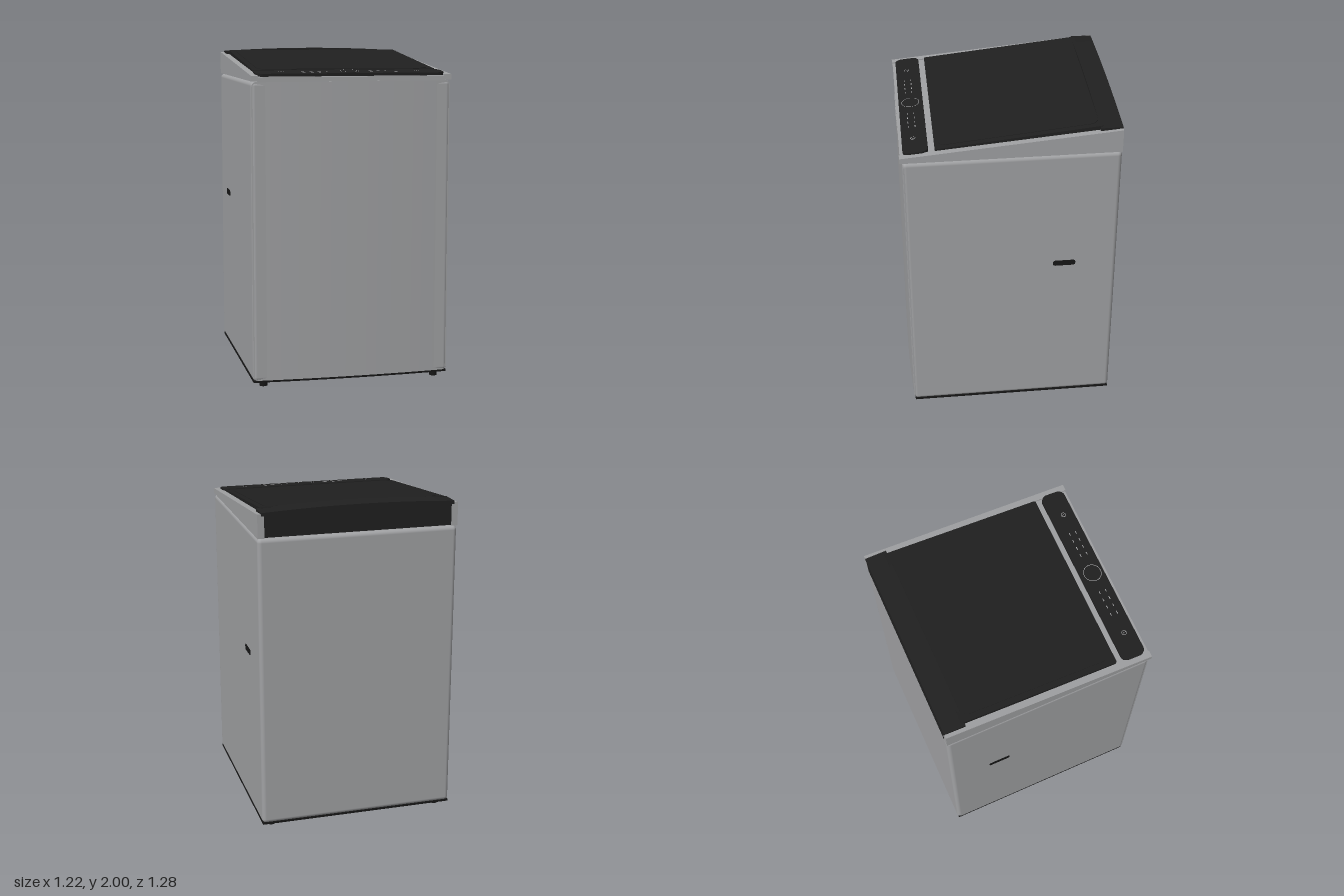
import * as THREE from 'three';
import { RoundedBoxGeometry } from 'three/addons/geometries/RoundedBoxGeometry.js';

const mat = (name, color) => {
  const m = new THREE.MeshStandardMaterial({ color });
  m.name = name;
  return m;
};

export function createModel() {
  const steel = mat('steel grey', 0xa0a1a3);
  const black = mat('gloss black', 0x202020);
  const dark = mat('underside black', 0x161616);
  const light = mat('marking grey', 0xb4b4b6);

  const model = new THREE.Group();
  model.name = 'washingMachine';
  const add = (name, geo, material, x = 0, y = 0, z = 0, parent = model) => {
    const m = new THREE.Mesh(geo, material);
    m.name = name;
    m.position.set(x, y, z);
    parent.add(m);
    return m;
  };

  // Bowed slab: rounded corners seen from the front, front face curved forward
  const R = 0.03, HALF = 0.602;
  const bow = (x) => 0.02 * (1 - (x / HALF) ** 2);
  function bowedSlab(h, d, corner) {
    const g = new THREE.BoxGeometry(2, h, d, 48, 1, 1);
    const p = g.attributes.position;
    for (let i = 0; i < p.count; i++) {
      const x = HALF * Math.sin(p.getX(i) * Math.PI / 2);
      const t = Math.max(0, Math.abs(x) - (HALF - corner));
      const inset = corner - Math.sqrt(Math.max(0, corner * corner - t * t));
      p.setX(i, x);
      p.setY(i, p.getY(i) - Math.sign(p.getY(i)) * inset);
      if (p.getZ(i) > 0) p.setZ(i, p.getZ(i) + bow(x));
    }
    g.computeVertexNormals();
    return g;
  }

  // Side profile given as [z, y] points, extruded across x
  function profile(points, width) {
    const s = new THREE.Shape(points.map(([z, y]) => new THREE.Vector2(z, y)));
    const g = new THREE.ExtrudeGeometry(s, { depth: width, bevelEnabled: false });
    return g.translate(0, 0, -width / 2).rotateY(-Math.PI / 2);
  }

  // Rounded rectangle lying flat, its top face at y = 0
  function plate(w, l, r, thick) {
    const s = new THREE.Shape(), a = w / 2, b = l / 2;
    s.absarc(a - r, b - r, r, 0, Math.PI / 2);
    s.absarc(-a + r, b - r, r, Math.PI / 2, Math.PI);
    s.absarc(-a + r, -b + r, r, Math.PI, Math.PI * 1.5);
    s.absarc(a - r, -b + r, r, Math.PI * 1.5, Math.PI * 2);
    const g = new THREE.ExtrudeGeometry(s, { depth: thick, bevelEnabled: false, curveSegments: 8 });
    return g.translate(0, 0, -thick).rotateX(-Math.PI / 2);
  }

  // Front-facing panel with an arched top edge
  function arched(half, bottom, edge, peak, depth) {
    const s = new THREE.Shape();
    s.moveTo(-half, bottom);
    s.lineTo(half, bottom);
    s.lineTo(half, edge);
    s.quadraticCurveTo(0, 2 * peak - edge, -half, edge);
    return new THREE.ExtrudeGeometry(s, { depth, bevelEnabled: false, curveSegments: 24 });
  }

  // Cabinet
  add('cabinet', new RoundedBoxGeometry(1.21, 1.79, 1.265, 4, 0.025), steel, 0, 0.935, -0.0075);
  add('frontPanel', bowedSlab(1.785, 0.02, R), steel, 0, 0.9375, 0.61);
  add('basePlate', bowedSlab(0.012, 1.25, 0), dark, 0, 0.038, -0.01);

  for (const side of [-1, 1]) {
    // Feet
    for (const z of [0.565, -0.56]) {
      add('foot', new THREE.CylinderGeometry(0.024, 0.024, 0.036, 20), dark, side * 0.535, 0.018, z);
    }
    // Side grip
    const grip = plate(0.036, 0.136, 0.014, 0.008).rotateZ(-side * Math.PI / 2);
    add('sideGrip', grip, dark, side * 0.608, 1.065, -0.322);
    // Sloping side rail
    add('sideRail', profile([[0.64, 1.833], [0.64, 1.865], [-0.64, 1.975], [-0.64, 1.833]], 0.04),
      steel, side * 0.585);
  }

  // Top deck between the rails, with the back panel and its cap
  add('topDeck', profile([[0.636, 1.828], [0.636, 1.857], [-0.6, 1.966], [-0.6, 1.828]], 1.132), steel);
  add('backPanel', arched(0.565, 1.838, 1.983, 2.0, 0.05), black, 0, 0, -0.641);
  add('backCap', arched(0.582, 1.964, 1.982, 2.0, 0.13), black, 0, 0, -0.641);

  // Tilted lid and controls share one sloping plane
  const top = new THREE.Group();
  top.name = 'lidAndControls';
  top.position.y = 1.935;
  top.rotation.x = 0.1;
  model.add(top);
  add('lid', plate(1.126, 0.97, 0.01, 0.024), black, 0, 0, -0.047, top);
  add('lidGlass', plate(1.056, 0.93, 0.05, 0.004), black, 0, 0.003, -0.047, top);
  add('controlPanel', plate(1.144, 0.146, 0.04, 0.022), black, 0, 0.003, 0.548, top);

  // Dial, buttons and indicator dashes
  const ring = (r, w) => new THREE.RingGeometry(r - w, r, 40).rotateX(-Math.PI / 2);
  add('dial', new THREE.CylinderGeometry(0.051, 0.051, 0.004, 40), black, 0, 0.004, 0.55, top);
  add('dialRing', ring(0.054, 0.003), light, 0, 0.0065, 0.55, top);
  for (const side of [-1, 1]) {
    add('buttonRing', ring(0.015, 0.003), light, side * 0.413, 0.0045, 0.555, top);
    add('buttonMark', new THREE.BoxGeometry(0.003, 0.002, 0.01), light, side * 0.413, 0.0036, 0.553, top);
    for (let i = 0; i < 4; i++) for (const z of [0.535, 0.575]) {
      add('indicator', new THREE.BoxGeometry(0.018, 0.002, 0.004), light,
        side * (0.13 + i * 0.05), 0.0036, z, top);
    }
  }
  return model;
}
